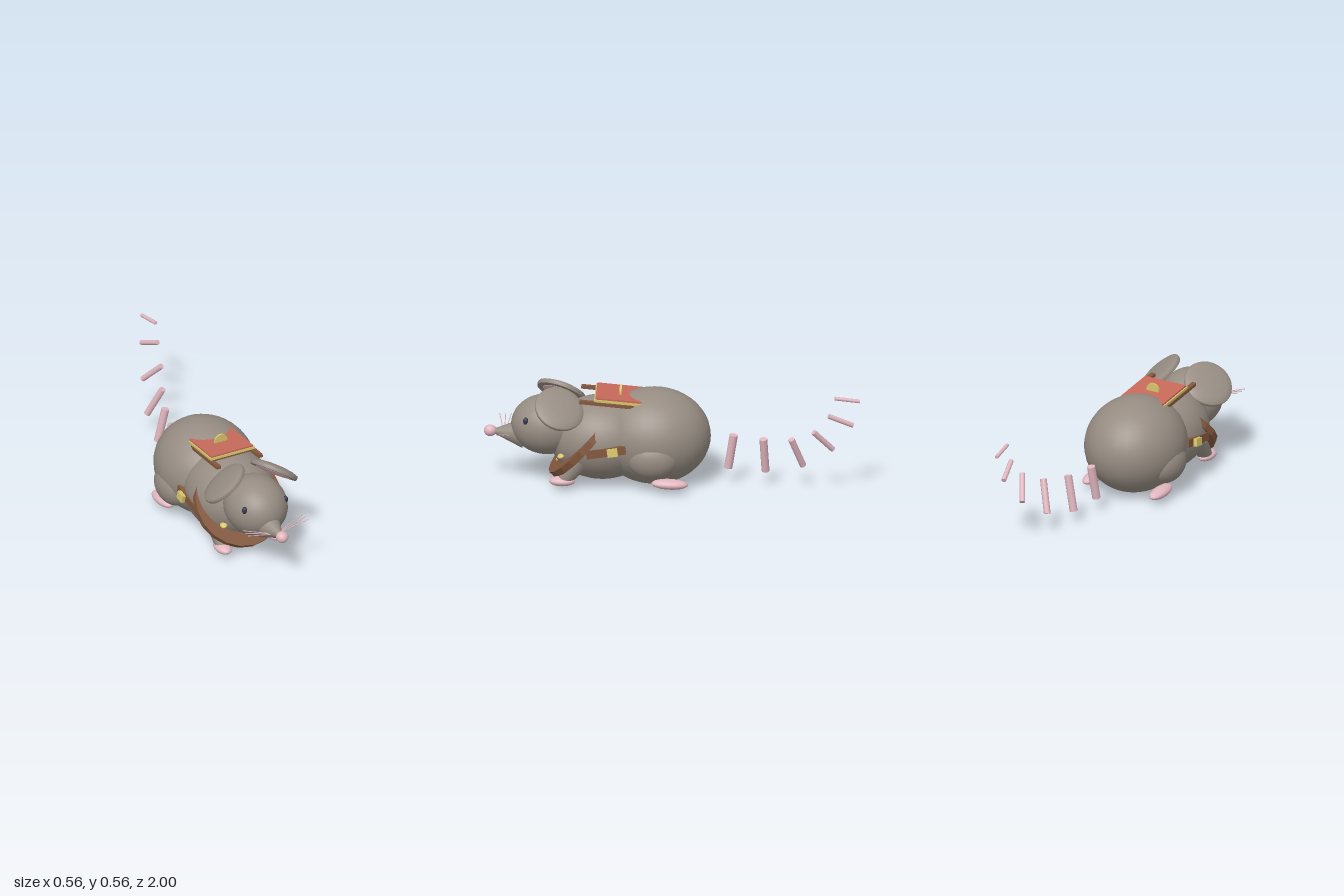
import * as THREE from 'three';

const mat = (color) => new THREE.MeshStandardMaterial({ color });
const FUR = mat(0x968c82), PINK = mat(0xe0b6be), BROWN = mat(0x84593f);
const GOLD = mat(0xd6c56a), RED = mat(0xc76a5a), DARK = mat(0x33364a);
const UP = new THREE.Vector3(0, 1, 0);
const V = (x, y, z) => new THREE.Vector3(x, y, z);

export function createModel() {
  const model = new THREE.Group();

  const add = (name, geometry, material, x = 0, y = 0, z = 0, rx = 0, ry = 0, rz = 0) => {
    const mesh = new THREE.Mesh(geometry, material);
    mesh.name = name;
    mesh.position.set(x, y, z);
    mesh.rotation.set(rx, ry, rz);
    model.add(mesh);
    return mesh;
  };
  const ball = (name, material, pos, radii, rot = [0, 0, 0], seg = 32) =>
    add(name, new THREE.SphereGeometry(1, seg, seg * 0.75).scale(...radii), material, ...pos, ...rot);
  const box = (name, material, size, pos, rot = [0, 0, 0]) =>
    add(name, new THREE.BoxGeometry(...size), material, ...pos, ...rot);
  // Tapered rod between two points
  const rod = (name, material, a, b, ra, rb, seg = 12) => {
    const dir = b.clone().sub(a);
    const mesh = add(name, new THREE.CylinderGeometry(rb, ra, dir.length(), seg), material);
    mesh.position.copy(a).add(b).multiplyScalar(0.5);
    mesh.quaternion.setFromUnitVectors(UP, dir.normalize());
    return mesh;
  };

  // Body and head
  ball('rump', FUR, [0, 0.258, 0.1], [0.265, 0.256, 0.3]);
  ball('chest', FUR, [0, 0.247, 0.375], [0.235, 0.224, 0.28]);
  ball('head', FUR, [0, 0.313, 0.665], [0.166, 0.16, 0.19]);
  rod('snout', FUR, V(0, 0.26, 0.79), V(0, 0.27, 0.955), 0.08, 0.008, 20);
  ball('nose', PINK, [0, 0.272, 0.965], [0.033, 0.031, 0.034], [0, 0, 0], 20);

  // Ear: flat front, upright rim, gently domed back
  const earShell = new THREE.LatheGeometry([
    [0, -0.013], [0.13, -0.013], [0.13, -0.013], [0.134, 0], [0.13, 0.011], [0.1, 0.021], [0.055, 0.027], [0, 0.029],
  ].map(([r, y]) => new THREE.Vector2(r, y)), 28);

  for (const s of [1, -1]) {
    const side = s > 0 ? 'left' : 'right';

    // Ears tilt outward, with the pink side below and forward
    const normal = V(0.57 * s, 0.76, -0.3).normalize();
    const ear = add(side + 'Ear', earShell, FUR, 0.148 * s, 0.447, 0.595);
    ear.quaternion.setFromUnitVectors(UP, normal);
    const inner = ball(side + 'InnerEar', PINK, [0, 0, 0], [0.1, 0.01, 0.1], [0, 0, 0], 20);
    inner.position.copy(ear.position).addScaledVector(normal, -0.012);
    inner.quaternion.copy(ear.quaternion);

    ball(side + 'Eye', DARK, [0.121 * s, 0.367, 0.772], [0.015, 0.02, 0.015], [0, 0, 0], 16);
    for (const z of [0.86, 0.89, 0.922])
      rod(side + 'Whisker', PINK, V(0, 0.25, 0.89), V(0.18 * s, 0.306, z), 0.0025, 0.0025, 5);

    // Legs and feet
    ball(side + 'Haunch', FUR, [0.19 * s, 0.19, 0.1], [0.09, 0.11, 0.137]);
    ball(side + 'HindFoot', PINK, [0.205 * s, 0.055, 0.01], [0.042, 0.027, 0.097], [-0.04, 0, 0], 20);
    rod(side + 'FrontLeg', FUR, V(0.14 * s, 0.16, 0.49), V(0.15 * s, 0.05, 0.57), 0.06, 0.035, 14);
    ball(side + 'FrontFoot', PINK, [0.152 * s, 0.047, 0.58], [0.042, 0.026, 0.07], [0, 0, 0], 20);

    // Harness side strap with buckle
    box(side + 'SideStrap', BROWN, [0.03, 0.045, 0.21], [0.226 * s, 0.237, 0.345], [0.15, 0, 0]);
    box(side + 'Buckle', GOLD, [0.02, 0.042, 0.055], [0.255 * s, 0.243, 0.31], [0.15, 0, 0.12 * s]);
    box(side + 'BackStrap', BROWN, [0.025, 0.018, 0.29], [0.125 * s, 0.468, 0.345], [-0.09, 0, 0]);
    ball(side + 'ChestStud', GOLD, [0.147 * s, 0.185, 0.585], [0.02, 0.011, 0.022], [0.4, 0.3 * s, -0.3 * s], 12);
  }

  // Slanted chest band
  const band = new THREE.LatheGeometry([
    [0.175, -0.019], [0.25, -0.019], [0.25, 0.019], [0.175, 0.019], [0.175, -0.019],
  ].map(([r, y]) => new THREE.Vector2(r, y)), 20).toNonIndexed();
  band.computeVertexNormals();
  add('chestBand', band, BROWN, 0, 0.232, 0.475, 0.835);
  ball('frontStud', GOLD, [0, 0.121, 0.602], [0.022, 0.01, 0.02], [0.6, 0, 0], 12);

  // Saddle: padded layers with an upright disc on top
  box('saddlePad', BROWN, [0.245, 0.014, 0.25], [0, 0.469, 0.285], [-0.09, 0, 0]);
  box('saddleTrim', GOLD, [0.265, 0.012, 0.255], [0, 0.478, 0.285], [-0.09, 0, 0]);
  box('saddleCover', RED, [0.25, 0.012, 0.245], [0, 0.487, 0.283], [-0.09, 0, 0]);
  add('saddleDisc', new THREE.CylinderGeometry(0.038, 0.038, 0.011, 24), GOLD, 0, 0.498, 0.275, Math.PI / 2);

  // Tail: separate rods that thin towards the tip (upper end, lower end, radius)
  [
    [V(0.025, 0.272, -0.322), V(0.01, 0.085, -0.292), 0.022],
    [V(0.072, 0.268, -0.48), V(0.032, 0.077, -0.49), 0.021],
    [V(0.135, 0.29, -0.63), V(0.075, 0.125, -0.69), 0.018],
    [V(0.193, 0.352, -0.75), V(0.133, 0.237, -0.85), 0.015],
    [V(0.213, 0.45, -0.83), V(0.183, 0.39, -0.958), 0.013],
    [V(0.218, 0.551, -0.862), V(0.205, 0.532, -0.995), 0.01],
  ].forEach(([a, b, r], i) => rod('tailSegment' + (i + 1), PINK, b, a, r, r, 12));

  return model;
}
